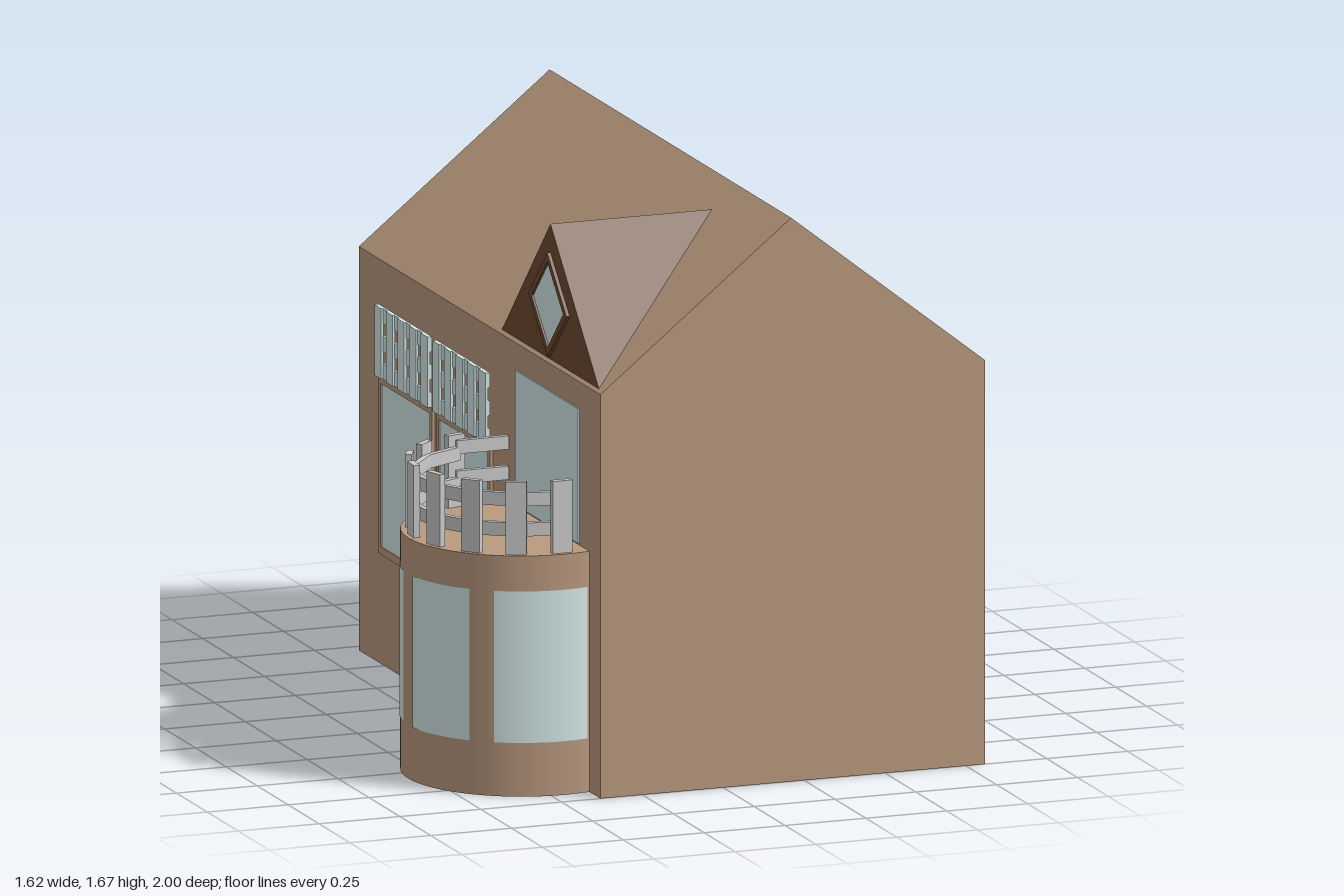
import * as THREE from 'three';

const paint = (color, extra = {}) => new THREE.MeshStandardMaterial({ color, ...extra });
const rad = THREE.MathUtils.degToRad;

export function createModel() {
  const wall = paint(0xbb9a80);
  const glass = paint(0xd6ebea, { side: THREE.DoubleSide });
  const brown = paint(0x6e4a32);
  const grey = paint(0xcccccc);
  const black = paint(0x181818);
  const model = new THREE.Group();
  model.name = 'house';

  const add = (parent, name, geometry, material, x = 0, y = 0, z = 0) => {
    const mesh = new THREE.Mesh(geometry, material);
    mesh.name = name;
    mesh.position.set(x, y, z);
    parent.add(mesh);
    return mesh;
  };
  const box = (parent, name, mat, [w, h, d], [x, y, z]) =>
    add(parent, name, new THREE.BoxGeometry(w, h, d), mat, x, y, z);
  const prism = (points, depth) => new THREE.ExtrudeGeometry(
    new THREE.Shape(points.map(([x, y]) => new THREE.Vector2(x, y))), { depth, bevelEnabled: false });
  // A group whose local +z points out of a wall
  const mount = (name, x, y, z, turn) => {
    const group = new THREE.Group();
    group.name = name;
    group.position.set(x, y, z);
    group.rotation.y = turn;
    model.add(group);
    return group;
  };
  // Rectangular border of four bars
  const frame = (parent, w, h, t, d, mat) => {
    for (const s of [-1, 1]) {
      box(parent, 'frameSide', mat, [t, h, d], [s * (w - t) / 2, 0, d / 2]);
      box(parent, 'frameRail', mat, [w, t, d], [0, s * (h - t) / 2, d / 2]);
    }
  };
  // Woven trellis of flat slats
  const trellis = (parent, w, h, y) => {
    for (let i = 0; i < 5; i++)
      box(parent, 'trellisUpright', glass, [0.055, h, 0.008], [(i / 4 - 0.5) * (w - 0.055), y, 0.017]);
    for (let j = 0; j < 3; j++)
      box(parent, 'trellisSlat', glass, [w, 0.045, 0.008], [0, y + (j / 2 - 0.5) * (h - 0.045), 0.011]);
  };

  // Walls and gabled roof
  add(model, 'houseBody', prism(
    [[-0.38, 0], [0.81, 0], [0.81, 1.2], [0.21, 1.675], [-0.38, 1.2]], 1.955), wall, 0, 0, -0.955);

  // Dormer with a diamond window
  const dormer = prism([[-0.4, 1.2], [0.4, 1.2], [0, 1.61]], 0.5);
  dormer.rotateY(Math.PI / 2);
  add(model, 'dormer', dormer, brown, -0.37, 0, 0.57);
  const dormerWindow = mount('dormerWindow', -0.37, 1.37, 0.57, -Math.PI / 2);
  const diamond = new THREE.Group();
  diamond.name = 'diamondWindow';
  diamond.rotation.z = Math.PI / 4;
  dormerWindow.add(diamond);
  box(diamond, 'dormerGlass', glass, [0.2, 0.2, 0.004], [0, 0, 0.002]);
  frame(diamond, 0.22, 0.22, 0.02, 0.01, brown);

  // Round bay with curved windows
  const [cx, cz, r] = [-0.46, 0.57, 0.35];
  add(model, 'bay', new THREE.CylinderGeometry(r, r, 0.715, 64), wall, cx, 0.3575, cz);
  for (const [from, to] of [[78, 124], [136, 174], [186, 224], [236, 282]])
    add(model, 'bayWindow', new THREE.CylinderGeometry(r + 0.002, r + 0.002, 0.45, 16, 1, true,
      rad(90 - to), rad(to - from)), glass, cx, 0.385, cz);

  // Balcony railing: posts around the bay joined by straight rails
  const railing = new THREE.Group();
  railing.name = 'railing';
  model.add(railing);
  const onRing = (deg, radius) => [cx + radius * Math.cos(rad(deg)), cz + radius * Math.sin(rad(deg))];
  const angles = [90, 113.5, 137, 160.5, 184, 207.5, 231, 254.5, 283];
  angles.forEach((deg, i) => {
    const last = i === angles.length - 1;
    if (!last) {
      const [x, z] = onRing(deg, 0.325);
      box(railing, 'post', grey, [0.06, 0.215, 0.02], [x, 0.8225, z]).rotation.y = rad(90 - deg);
    }
    if (i === 0) return;
    const [ax, az] = onRing(angles[i - 1], 0.312);
    const [bx, bz] = onRing(deg, 0.312);
    for (const y of [0.785, 0.875])
      box(railing, 'rail', grey, [Math.hypot(bx - ax, bz - az) + 0.008, 0.04, 0.018],
        [(ax + bx) / 2, y + (last ? 0.02 : 0), (az + bz) / 2]).rotation.y = -Math.atan2(bz - az, bx - ax);
  });

  // Balcony door
  const balconyDoor = mount('balconyDoor', -0.38, 0.92, 0.575, -Math.PI / 2);
  box(balconyDoor, 'balconyGlass', glass, [0.51, 0.4, 0.004], [0, 0, 0.002]);

  // Pair of side windows with trellises
  for (const [z, out] of [[-0.56, -0.38], [-0.085, -0.382]]) {
    const side = mount('sideWindow', out, 0.595, z, -Math.PI / 2);
    box(side, 'sideGlass', glass, [0.4, 0.5, 0.004], [0, 0, 0.002]);
    frame(side, 0.44, 0.53, 0.022, 0.008, wall);
    trellis(side, 0.43, 0.21, 0.37);
  }

  // Upper back window with trellis
  const upper = mount('backWindow', 0.225, 0.93, -0.955, Math.PI);
  box(upper, 'backGlass', glass, [0.37, 0.5, 0.004], [0, 0, 0.002]);
  trellis(upper, 0.45, 0.21, 0.365);

  // Back door with handle
  const door = mount('backDoor', 0.205, 0.26, -0.955, Math.PI);
  box(door, 'doorPanel', brown, [0.27, 0.43, 0.012], [0, 0, 0.006]);
  frame(door, 0.285, 0.44, 0.014, 0.02, brown);
  const knob = new THREE.CylinderGeometry(0.012, 0.012, 0.03, 16);
  knob.rotateX(Math.PI / 2);
  add(door, 'handleStem', knob, black, -0.09, -0.03, 0.024);
  box(door, 'handleLever', black, [0.055, 0.014, 0.01], [-0.07, -0.03, 0.04]);

  // Box beside the door
  box(model, 'letterBox', brown, [0.03, 0.115, 0.025], [0.44, 0.395, -0.9675]);

  return model;
}
